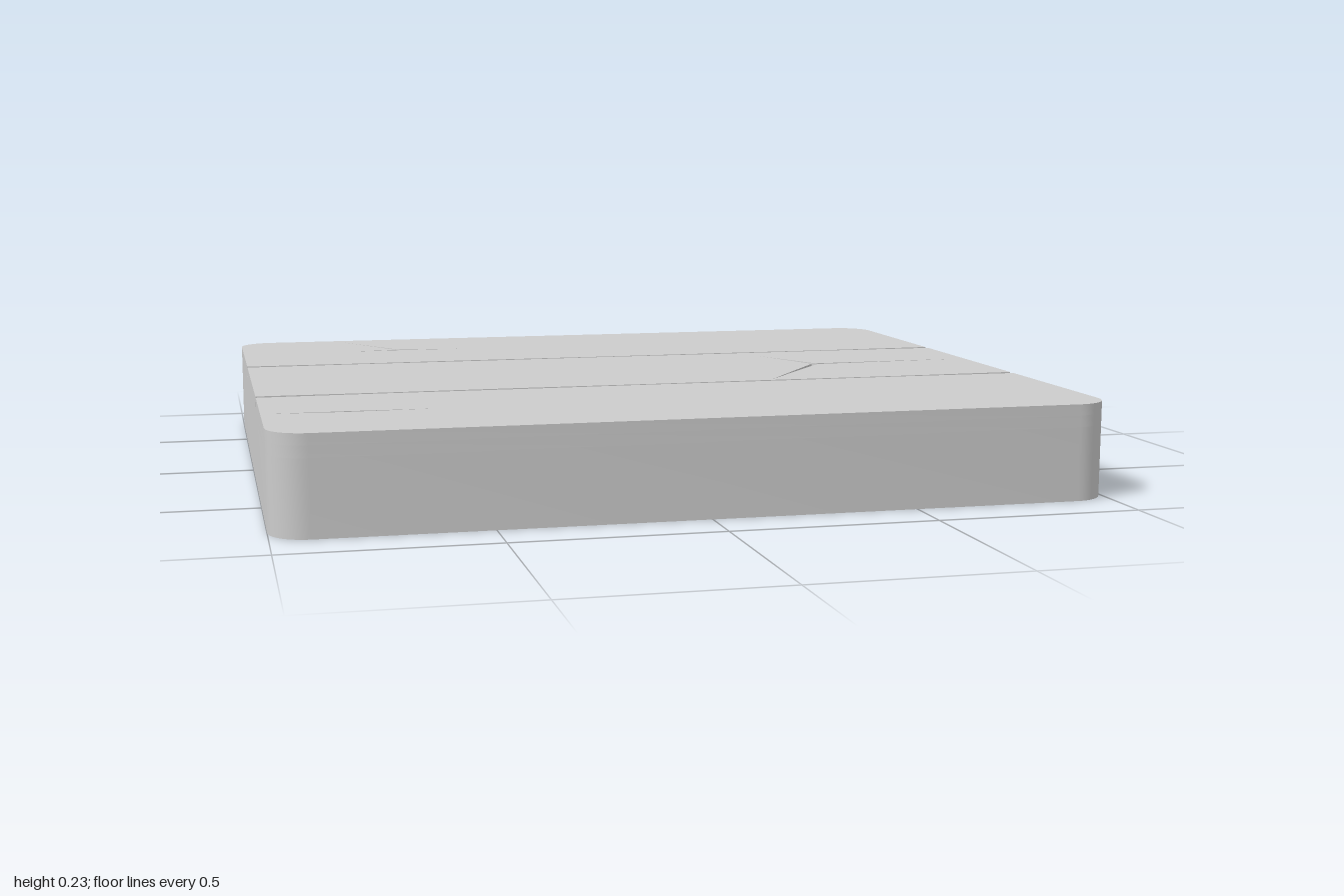
import * as THREE from 'three';
import { toCreasedNormals } from 'three/addons/utils/BufferGeometryUtils.js';

const W = 1, D = 0.87, R = 0.09;             // half width, half depth, corner radius
const CEILING = 0.18, FLOOR = 0.208, TOP = 0.235;
const material = new THREE.MeshStandardMaterial({ color: 0xcccccc });

// Plan shapes use (x, -z); this stands them up between two heights.
function slab(name, shape, y0, y1) {
  let geo = new THREE.ExtrudeGeometry(shape, { depth: y1 - y0, bevelEnabled: false, curveSegments: 5 });
  geo.rotateX(-Math.PI / 2);
  geo.translate(0, y0, 0);
  geo = toCreasedNormals(geo, 0.6);
  const mesh = new THREE.Mesh(geo, material);
  mesh.name = name;
  return mesh;
}

function roundedRect(w, d, r, Type = THREE.Shape) {
  const s = new Type();
  s.absarc(w - r, d - r, r, 0, Math.PI / 2);
  s.absarc(-w + r, d - r, r, Math.PI / 2, Math.PI);
  s.absarc(-w + r, -d + r, r, Math.PI, Math.PI * 1.5);
  s.absarc(w - r, -d + r, r, Math.PI * 1.5, Math.PI * 2);
  s.closePath();
  return s;
}

// Star-shaped slit: thin arms tapering from a centre to each tip, given as [x, z].
function crack([cx, cz], tips, w) {
  const arms = tips.map(([x, z]) => ({ x, y: -z, a: Math.atan2(-z + cz, x - cx) }))
    .sort((p, q) => p.a - q.a);
  const pts = [];
  arms.forEach((arm, i) => {
    const next = i + 1 < arms.length ? arms[i + 1].a : arms[0].a + Math.PI * 2;
    const mid = (arm.a + next) / 2;
    pts.push(new THREE.Vector2(arm.x, arm.y));
    pts.push(new THREE.Vector2(cx + w * Math.cos(mid), -cz + w * Math.sin(mid)));
  });
  return new THREE.Path(pts);
}

// Slightly uneven long edge of a plank along the joint at z; side moves it off the joint line.
function jointEdge(z, side) {
  const gaps = [0.011, 0.007, 0.009, 0.006, 0.008, 0.006, 0.011];
  return gaps.map((g, i) => [-W + (i * 2 * W) / (gaps.length - 1), -(z + side * g)]);
}

// Outer plank with two rounded corners; s = 1 is the front plank, -1 the back one.
function outerPlank(s) {
  const shape = new THREE.Shape();
  jointEdge(0.295 * s, s).forEach(([x, y], i) => (i ? shape.lineTo(x, y) : shape.moveTo(x, y)));
  const y = -s * (D - R);
  shape.absarc(W - R, y, R, 0, -s * Math.PI / 2, s > 0);
  shape.absarc(-W + R, y, R, -s * Math.PI / 2, -s * Math.PI, s > 0);
  shape.closePath();
  return shape;
}

function middlePlank() {
  const pts = [...jointEdge(0.295, -1), ...jointEdge(-0.295, 1).reverse()];
  return new THREE.Shape(pts.map(([x, y]) => new THREE.Vector2(x, y)));
}

// Low V-shaped seam hanging from the underside, running between two points.
function seam(x0, z0, x1, z1) {
  const len = Math.hypot(x1 - x0, z1 - z0);
  const geo = new THREE.CylinderGeometry(0.009, 0.009, len, 4).toNonIndexed();
  geo.computeVertexNormals();
  geo.rotateZ(Math.PI / 2);
  geo.rotateY(-Math.atan2(z1 - z0, x1 - x0));
  geo.translate((x0 + x1) / 2, CEILING, (z0 + z1) / 2);
  const mesh = new THREE.Mesh(geo, material);
  mesh.name = 'undersideSeam';
  return mesh;
}

export function createModel() {
  const group = new THREE.Group();
  group.name = 'plankSlab';

  // Hollow rim, open below
  const rim = roundedRect(W, D, R);
  rim.holes.push(roundedRect(W - 0.045, D - 0.045, 0.06, THREE.Path));
  group.add(slab('rim', rim, 0, CEILING));

  // Panel that closes the rim and forms the bottom of joints and cracks
  group.add(slab('panel', roundedRect(W, D, R), CEILING, FLOOR));

  // Three planks with cracks
  const back = outerPlank(-1), middle = middlePlank(), front = outerPlank(1);
  back.holes.push(crack([-0.55, -0.597], [[-0.7, -0.587], [-0.37, -0.587], [-0.7, -0.84]], 0.007));
  middle.holes.push(crack([0.545, -0.005], [[0.44, -0.22], [0.985, -0.018], [0.33, 0.275]], 0.009));
  front.holes.push(crack([-0.8, 0.58], [[-0.992, 0.577], [-0.595, 0.58]], 0.006));
  group.add(slab('backPlank', back, FLOOR, TOP));
  group.add(slab('middlePlank', middle, FLOOR, TOP));
  group.add(slab('frontPlank', front, FLOOR, TOP));

  // Seams on the underside: long lines and staggered cross lines
  const underside = new THREE.Group();
  underside.name = 'undersideSeams';
  for (const z of [-0.58, -0.295, 0, 0.295, 0.58]) underside.add(seam(-0.82, z, 0.82, z));
  for (const [x, z0, z1] of [[0.42, -0.58, 0], [-0.37, -0.58, 0.295], [-0.72, 0, 0.295]]) {
    underside.add(seam(x, z0, x, z1));
  }
  group.add(underside);
  return group;
}
